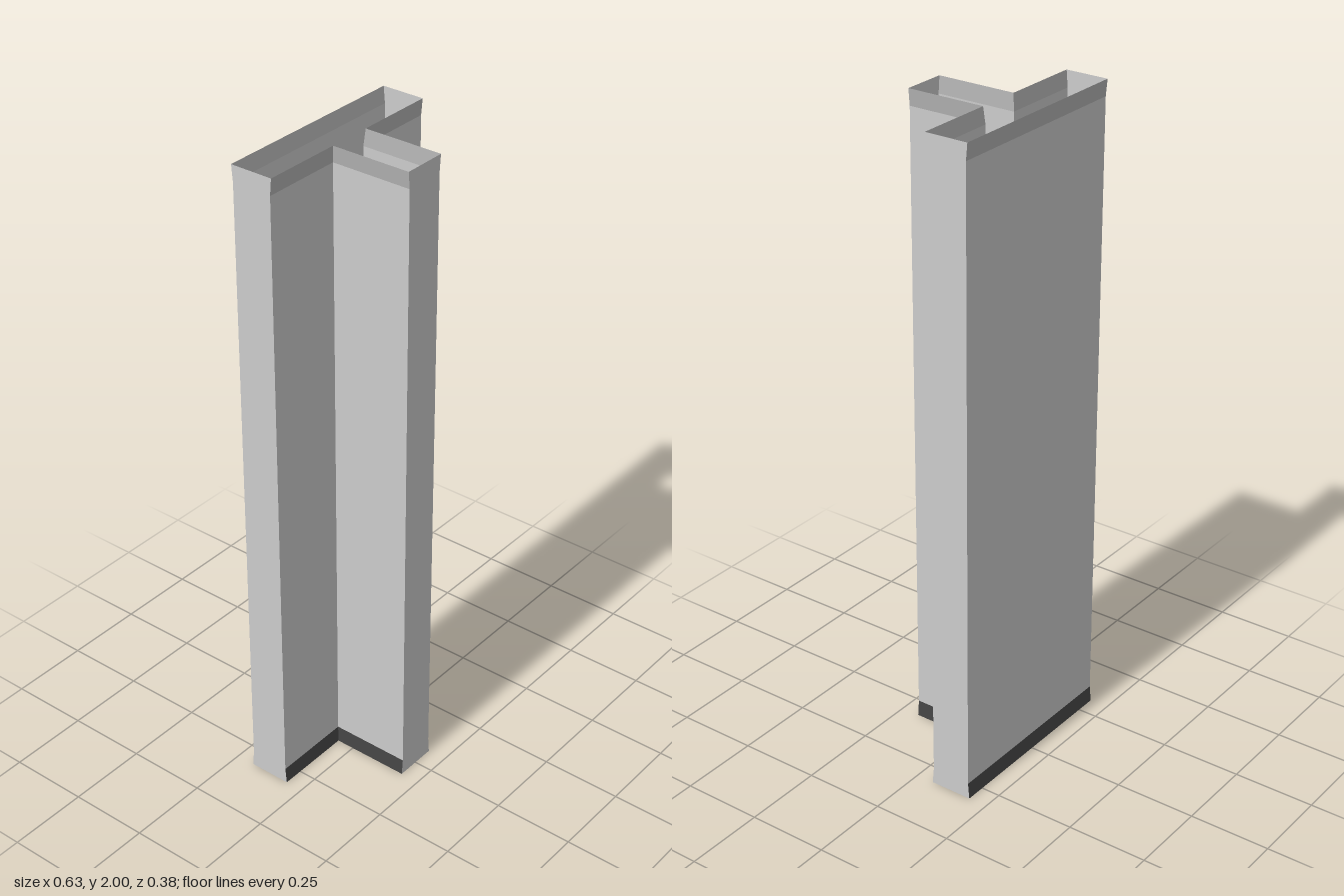
import * as THREE from 'three';

const H = 2, BAND = 0.05, FLARE = 0.0045;

// T-shaped outline as [x, z]; the long walls step outward by f
function outline(f) {
  const s = 0.063 + f, a = -0.061 + f, b = -0.1855 - f, X = 0.313, Z = 0.19;
  return [[-s, Z], [s, Z], [s, a], [X, a], [X, b], [-X, b], [-X, a], [-s, a]];
}

const LEVELS = [[0, FLARE], [BAND, 0], [H - BAND, 0], [H, FLARE]];
const WALLS = ['stemEnd', 'leftStemSide', 'leftArmFront', 'leftArmEnd', 'back', 'rightArmEnd', 'rightArmFront', 'rightStemSide'];

export function createModel() {
  const group = new THREE.Group();
  group.name = 'tShapedColumn';
  const material = (color) => new THREE.MeshStandardMaterial({ color, side: THREE.DoubleSide, flatShading: true });
  const grey = material(0xcccccc), dark = material(0x444444), soft = material(0xb3b3b3);
  const rings = LEVELS.map(([y, f]) => outline(f).map(([x, z]) => [x, y, z]));

  WALLS.forEach((wall, i) => {
    const j = (i + 1) % WALLS.length;
    const isEnd = wall.endsWith('End');
    // Bottom band, main panel and top band of each wall
    ['BottomBand', 'Panel', 'TopBand'].forEach((part, k) => {
      const corners = [rings[k][i], rings[k][j], rings[k + 1][j], rings[k + 1][i]];
      const geo = new THREE.BufferGeometry();
      geo.setAttribute('position', new THREE.Float32BufferAttribute(corners.flat(), 3));
      geo.setIndex([0, 1, 2, 0, 2, 3]);
      geo.computeVertexNormals();
      const mesh = new THREE.Mesh(geo, isEnd ? grey : [dark, grey, soft][k]);
      mesh.name = wall + part;
      group.add(mesh);
    });
  });
  return group;
}
